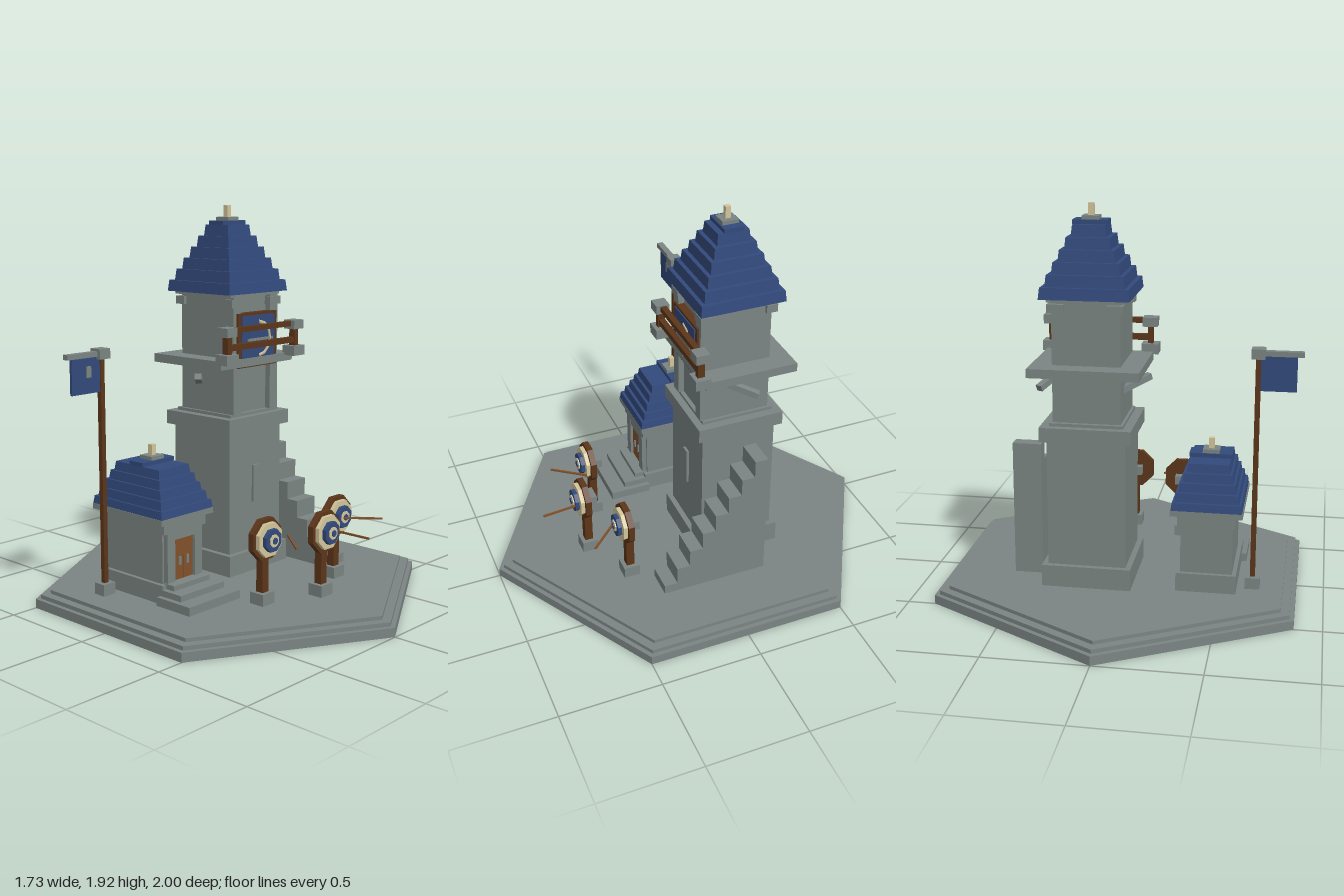
import * as THREE from 'three';

const flat = (name, color) => {
  const m = new THREE.MeshStandardMaterial({ color });
  m.name = name;
  return m;
};

export function createModel() {
  const stone = flat('stone', 0x7b8583), blue = flat('blue', 0x324a7c), wood = flat('darkWood', 0x5c3519),
    door = flat('doorWood', 0x82522c), cream = flat('cream', 0xd3c69c);

  const group = (parent, name, x = 0, y = 0, z = 0) => {
    const g = new THREE.Group();
    g.name = name;
    g.position.set(x, y, z);
    parent.add(g);
    return g;
  };
  const add = (parent, name, geo, mat) => {
    const m = new THREE.Mesh(geo, mat);
    m.name = name;
    parent.add(m);
    return m;
  };
  // box given by its limits on each axis
  const box = (parent, name, mat, x0, x1, y0, y1, z0, z1) => {
    const m = add(parent, name, new THREE.BoxGeometry(x1 - x0, y1 - y0, z1 - z0), mat);
    m.position.set((x0 + x1) / 2, (y0 + y1) / 2, (z0 + z1) / 2);
    return m;
  };
  // box centred on x and z
  const block = (parent, name, mat, hx, hz, y0, y1) => box(parent, name, mat, -hx, hx, y0, y1, -hz, hz);
  // square bar between two points
  const bar = (parent, name, mat, a, b, w, d) => {
    const p = new THREE.Vector3(...a), q = new THREE.Vector3(...b);
    const m = add(parent, name, new THREE.BoxGeometry(w, d, p.distanceTo(q)), mat);
    m.position.copy(p).add(q).multiplyScalar(0.5);
    m.lookAt(q);
    return m;
  };
  // stepped roof with slightly sloping tiers, ridge, cap and finial
  const roof = (parent, n, hx, hz, topX, topZ, y0, y1, ridgeZ, tip) => {
    const g = group(parent, 'roof');
    const h = (y1 - y0) / n;
    for (let i = 0; i < n; i++) {
      const t = i / (n - 1);
      const tier = block(g, 'roofTier', blue, hx + (topX - hx) * t, hz + (topZ - hz) * t, y0 + i * h, y0 + (i + 1) * h);
      const p = tier.geometry.attributes.position;
      for (let k = 0; k < p.count; k++) if (p.getY(k) > 0) {
        p.setX(k, p.getX(k) - Math.sign(p.getX(k)) * 0.006);
        p.setZ(k, p.getZ(k) - Math.sign(p.getZ(k)) * 0.006);
      }
      tier.geometry.computeVertexNormals();
    }
    block(g, 'roofRidge', blue, topX, ridgeZ, y1, y1 + 0.02);
    block(g, 'roofCap', stone, 0.04, 0.04, y1 + 0.02, y1 + 0.038);
    block(g, 'finial', cream, 0.013, 0.013, y1 + 0.038, tip);
  };

  const model = new THREE.Group();
  model.name = 'archeryTower';

  // hexagonal ground
  const ground = group(model, 'ground');
  [[1, 0, 0.045], [0.975, 0.045, 0.065], [0.927, 0.065, 0.083]].forEach(([r, y0, y1]) => {
    const geo = new THREE.CylinderGeometry(r, r, y1 - y0, 6).toNonIndexed();
    geo.computeVertexNormals();
    add(ground, 'groundLayer', geo, stone).position.y = (y0 + y1) / 2;
  });
  const G = 0.083;

  // tower body
  const tower = group(model, 'tower', 0.14, 0, -0.168);
  block(tower, 'plinth', stone, 0.217, 0.217, G, 0.19);
  block(tower, 'lowerWall', stone, 0.19, 0.19, 0.19, 0.815);
  block(tower, 'belt', stone, 0.22, 0.22, 0.815, 0.885);
  block(tower, 'beltTop', stone, 0.177, 0.184, 0.885, 0.9);
  block(tower, 'upperWall', stone, 0.163, 0.163, 0.9, 1.49);
  block(tower, 'eaves', stone, 0.18, 0.19, 1.48, 1.505);
  box(tower, 'slit', stone, -0.024, 0.022, 0.435, 0.625, 0.185, 0.203);
  for (const s of [-1, 1]) {
    const pilaster = block(tower, 'pilaster', stone, 0.028, 0.02, 0.9, 1.49);
    pilaster.position.x = s * 0.135;
    pilaster.position.z = 0.173;
    for (const z of [0.171, -0.159]) {
      const bracket = block(tower, 'cornerBracket', stone, 0.04, 0.028, 1.43, 1.47);
      bracket.position.x = s * 0.14;
      bracket.position.z = z;
    }
    bar(tower, 'brace', stone, [s * 0.165, 0.995, 0], [s * 0.255, 1.14, 0], 0.034, 0.03);
  }
  roof(tower, 6, 0.213, 0.213, 0.083, 0.083, 1.495, 1.825, 0.048, 1.92);

  // balcony with railing
  const balcony = group(tower, 'balcony');
  box(balcony, 'platform', stone, -0.265, 0.265, 1.135, 1.178, -0.26, 0.205);
  for (const s of [-1, 1]) {
    const post = group(balcony, 'railPost', s * 0.248, 0, 0.23);
    block(post, 'postFoot', stone, 0.042, 0.038, 1.165, 1.215);
    block(post, 'post', wood, 0.013, 0.018, 1.215, 1.3);
    block(post, 'postCap', stone, 0.036, 0.034, 1.3, 1.345);
  }
  for (const [y0, y1] of [[1.315, 1.34], [1.23, 1.258]])
    box(balcony, 'rail', wood, -0.24, 0.24, y0, y1, 0.213, 0.243);

  // framed sign with bow and arrow
  const sign = group(tower, 'sign');
  box(sign, 'signFrame', wood, -0.143, 0.143, 1.13, 1.4, 0.16, 0.203);
  box(sign, 'signPanel', blue, -0.118, 0.122, 1.178, 1.387, 0.2, 0.209);
  const bow = add(sign, 'bow', new THREE.TorusGeometry(0.085, 0.009, 4, 6, Math.PI), cream);
  bow.rotation.z = -Math.PI / 2;
  bow.position.set(0, 1.27, 0.213);
  bow.scale.z = 0.5;
  box(sign, 'arrow', stone, -0.08, 0.105, 1.26, 1.273, 0.207, 0.216);

  // outer staircase
  const stairs = group(model, 'stairs');
  for (let i = 0; i < 8; i++)
    box(stairs, 'step', stone, 0.385, 0.528, G, 0.13 + i * 0.0893, 0.233 - i * 0.067, 0.3 - i * 0.067);

  // hut
  const hut = group(model, 'hut', -0.436, 0, -0.125);
  block(hut, 'hutPlinth', stone, 0.145, 0.215, G, 0.175);
  block(hut, 'hutWall', stone, 0.125, 0.195, 0.175, 0.48);
  block(hut, 'hutBand', stone, 0.138, 0.222, 0.42, 0.472);
  block(hut, 'hutEaves', stone, 0.172, 0.24, 0.472, 0.5);
  roof(hut, 5, 0.17, 0.24, 0.104, 0.155, 0.495, 0.71, 0.045, 0.8);
  box(hut, 'stepLow', stone, -0.17, 0.17, G, 0.125, 0.2, 0.415);
  box(hut, 'stepMiddle', stone, -0.145, 0.145, 0.125, 0.155, 0.2, 0.335);
  box(hut, 'stepTop', stone, -0.12, 0.12, 0.155, 0.18, 0.19, 0.265);
  for (const s of [-1, 1]) {
    const jamb = block(hut, 'doorJamb', stone, 0.025, 0.018, 0.175, 0.43);
    jamb.position.x = s * 0.09;
    jamb.position.z = 0.202;
    const leaf = block(hut, 'doorLeaf', door, 0.031, 0.006, 0.18, 0.382);
    leaf.position.x = s * 0.032;
    leaf.position.z = 0.2;
    const handle = block(hut, 'doorHandle', stone, 0.006, 0.004, 0.25, 0.292);
    handle.position.x = s * 0.025;
    handle.position.z = 0.209;
  }
  box(hut, 'lintel', stone, -0.115, 0.115, 0.382, 0.43, 0.19, 0.218);

  // flag
  const flag = group(model, 'flag', -0.655, 0, -0.232);
  block(flag, 'poleFoot', stone, 0.036, 0.033, G, 0.14);
  block(flag, 'pole', wood, 0.012, 0.012, 0.14, 1.23);
  block(flag, 'poleCap', stone, 0.032, 0.032, 1.225, 1.273);
  box(flag, 'arm', stone, -0.21, -0.03, 1.238, 1.262, -0.016, 0.016);
  box(flag, 'banner', blue, -0.18, -0.012, 1.07, 1.24, -0.007, 0.007);
  box(flag, 'bannerMark', stone, -0.095, -0.068, 1.145, 1.198, 0.006, 0.012);

  // archery targets: octagonal rings stacked toward the front
  const rings = [[0.106, 0, 0.03, wood], [0.086, 0.03, 0.05, cream], [0.057, 0.05, 0.07, blue],
    [0.031, 0.07, 0.076, cream], [0.016, 0.076, 0.081, blue]];
  for (const [x, z] of [[-0.24, 0.41], [0.042, 0.533], [0.304, 0.403]]) {
    const t = group(model, 'target', x, 0, z);
    block(t, 'targetFoot', stone, 0.042, 0.04, G, 0.14);
    block(t, 'targetPost', wood, 0.021, 0.02, 0.14, 0.38);
    box(t, 'targetBack', stone, -0.042, 0.042, 0.375, 0.42, -0.045, 0.002);
    for (const [r, z0, z1, mat] of rings) {
      const geo = new THREE.CylinderGeometry(r, r, z1 - z0, 8).toNonIndexed();
      geo.computeVertexNormals();
      geo.rotateY(Math.PI / 8).rotateX(Math.PI / 2);
      add(t, 'targetRing', geo, mat).position.set(0, 0.4, (z0 + z1) / 2);
    }
    bar(t, 'stuckArrow', door, [0.042, 0.387, 0.04], [0.058, 0.407, 0.238], 0.009, 0.009);
  }
  return model;
}
